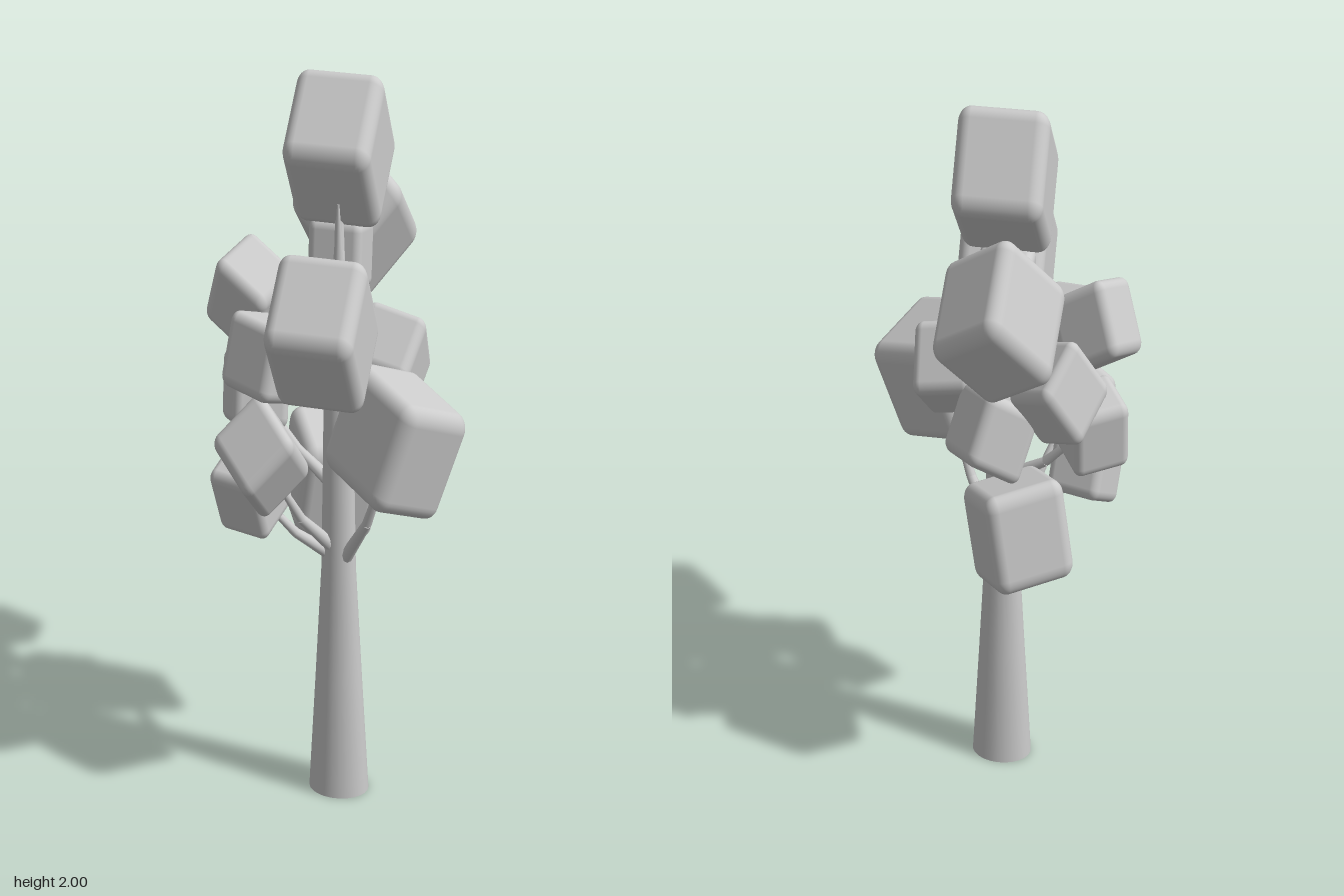
import * as THREE from 'three';
import { RoundedBoxGeometry } from 'three/addons/geometries/RoundedBoxGeometry.js';

// Foliage blocks: centre, size, two edge directions, height where the branch leaves the trunk
const largeBlocks = [
  [[-0.025, 1.805, -0.043], 0.225, [1, 0, 0], [0, -0.63, 0.78], 1.4],
  [[0.028, 1.442, 0.27], 0.225, [1, 0, 0], [0, -0.63, 0.78], 1.36],
  [[-0.055, 1.54, -0.275], 0.225, [0.05, -0.62, -0.78], [0.785, -0.54, 0.3], 1.36],
  [[0.188, 1.132, 0.172], 0.235, [0.36, 0.92, -0.13], [0.8, -0.25, 0.55], 0.68],
  [[-0.08, 0.86, -0.142], 0.215, [0.2, 0.96, 0.12], [-0.84, 0.1, 0.5], 0.68],
];
const smallBlocks = [
  [[-0.25, 1.405, -0.005], 0.16, [0.35, 0.85, 0.35], [0.8, -0.4, 0.2], 1.2],
  [[0.115, 1.26, -0.03], 0.16, [0.97, -0.15, 0.1], [0, -0.63, 0.78], 1.1],
  [[-0.18, 1.28, -0.14], 0.16, [-0.55, -0.75, 0.3], [0.7, -0.3, 0.6], 1.12],
  [[-0.25, 1.13, -0.035], 0.15, [-0.866, 0.1, 0.5], [0, 0.97, -0.2], 0.9],
  [[-0.01, 1.15, -0.145], 0.16, [-0.7, -0.45, 0.5], [-0.3, 0.88, 0.35], 0.95],
  [[-0.163, 1.3, 0.137], 0.155, [0.9, -0.1, 0.37], [0.15, 0.93, -0.2], 1.18],
  [[-0.157, 1.052, 0.195], 0.165, [0.7, -0.5, 0.45], [-0.1, 0.6, 0.75], 0.72],
  [[-0.213, 0.92, 0.12], 0.15, [0.95, 0, 0.3], [0, 0.9, 0.4], 0.7],
  [[-0.03, 1.52, -0.07], 0.14, [0, 0.15, 1], [0, 0.98, -0.13], 1.38],
];

const material = new THREE.MeshStandardMaterial({ color: 0xcccccc, side: THREE.DoubleSide });

// Rounded cube turned to its edge directions, then stretched upwards
function foliageBlock([centre, size, a, b]) {
  const x = new THREE.Vector3(...a).normalize();
  const z = new THREE.Vector3().crossVectors(x, new THREE.Vector3(...b)).normalize();
  const y = new THREE.Vector3().crossVectors(z, x);
  const geometry = new RoundedBoxGeometry(size, size, size, 4, size * 0.15);
  geometry.applyMatrix4(new THREE.Matrix4().makeBasis(x, y, z));
  geometry.scale(1, 1.33, 0.9).translate(...centre);
  const mesh = new THREE.Mesh(geometry, material);
  mesh.name = 'foliageBlock';
  return mesh;
}

// Tapered limb between two points
function limb(from, to, r0, r1) {
  const dir = new THREE.Vector3().subVectors(to, from);
  const mesh = new THREE.Mesh(new THREE.CylinderGeometry(r1, r0, dir.length(), 10), material);
  mesh.position.copy(from).addScaledVector(dir, 0.5);
  mesh.quaternion.setFromUnitVectors(new THREE.Vector3(0, 1, 0), dir.normalize());
  return mesh;
}

// Bent branch from the trunk to a block
function branch([centre, , , , startY]) {
  const group = new THREE.Group();
  group.name = 'branch';
  const start = new THREE.Vector3(0, startY, 0.033);
  const end = new THREE.Vector3(...centre);
  const bend = start.clone().lerp(end, 0.5);
  bend.y -= (end.y - startY) * 0.12;
  group.add(limb(start, bend, 0.02, 0.013), limb(bend, end, 0.013, 0.006));
  return group;
}

export function createModel() {
  const model = new THREE.Group();
  model.name = 'tree';

  // Trunk, open at the base and tapering to a thin leader
  const profile = [[0.082, 0], [0.063, 0.35], [0.046, 0.68], [0.036, 1.3], [0.026, 1.42], [0.012, 1.55], [0.003, 1.69]];
  const trunk = new THREE.Mesh(
    new THREE.LatheGeometry(profile.map(([r, y]) => new THREE.Vector2(r, y)), 24), material);
  trunk.name = 'trunk';
  trunk.scale.z = 0.82;
  trunk.position.set(-0.003, 0, 0.035);
  model.add(trunk);

  for (const block of [...largeBlocks, ...smallBlocks]) {
    model.add(foliageBlock(block), branch(block));
  }
  return model;
}
